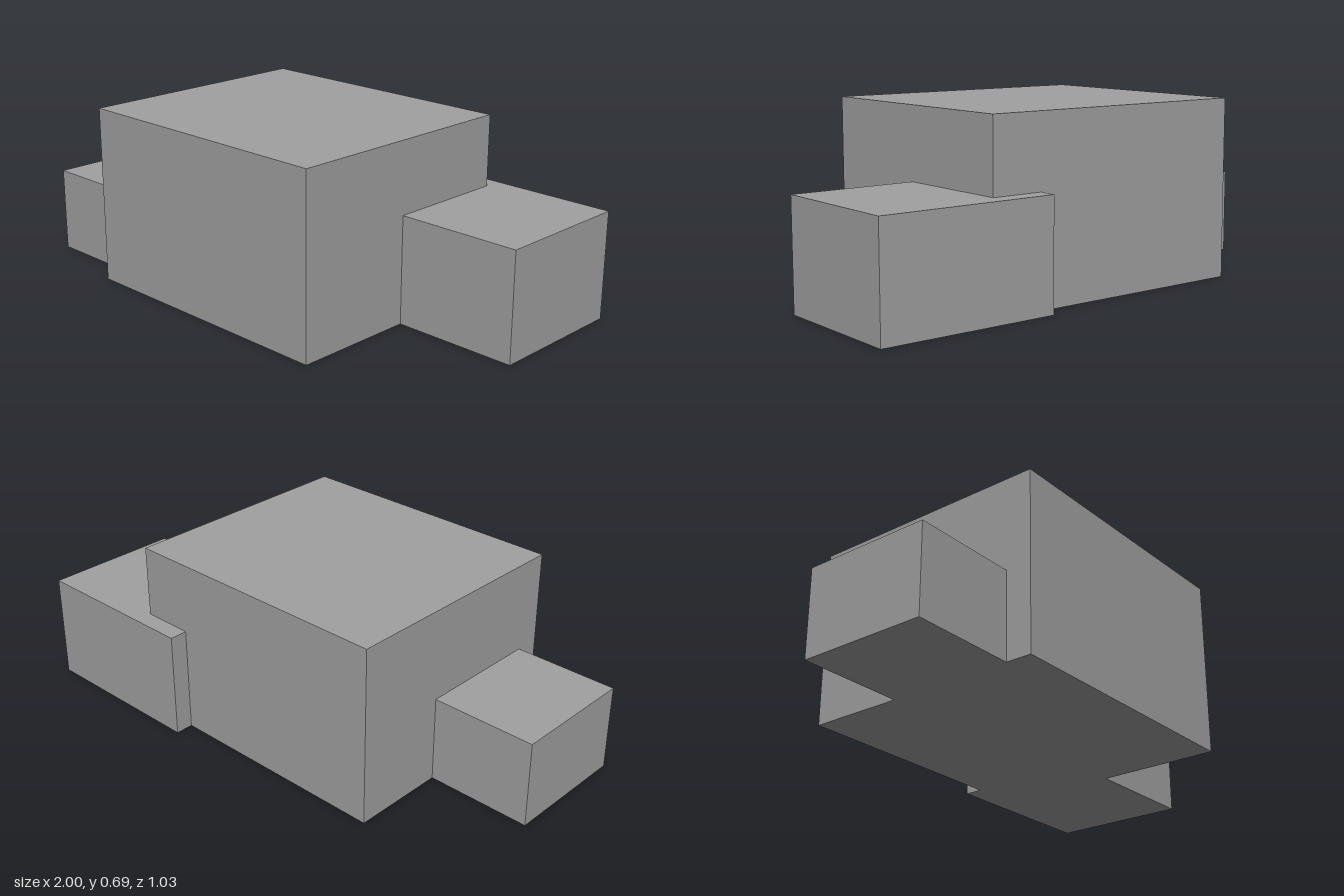
import * as THREE from 'three';

export function createModel() {
  const model = new THREE.Group();
  model.name = 'blockBuilding';
  const grey = new THREE.MeshStandardMaterial({ color: 0xa0a0a0 });
  grey.name = 'plain grey';

  // Box standing on the ground, given by its x and z extents and height
  const block = (name, x0, x1, z0, z1, height) => {
    const mesh = new THREE.Mesh(new THREE.BoxGeometry(x1 - x0, height, z1 - z0), grey);
    mesh.name = name;
    mesh.position.set((x0 + x1) / 2, height / 2, (z0 + z1) / 2);
    model.add(mesh);
  };

  // Tall central volume
  block('mainBlock', -0.588, 0.514, -0.447, 0.517, 0.692);
  // Side wing that also projects past the back wall
  block('leftWing', 0.31, 1, -0.517, 0.035, 0.415);
  // Low wing on the other side, set into the main block
  block('rightWing', -1, -0.5, -0.076, 0.417, 0.335);

  return model;
}
